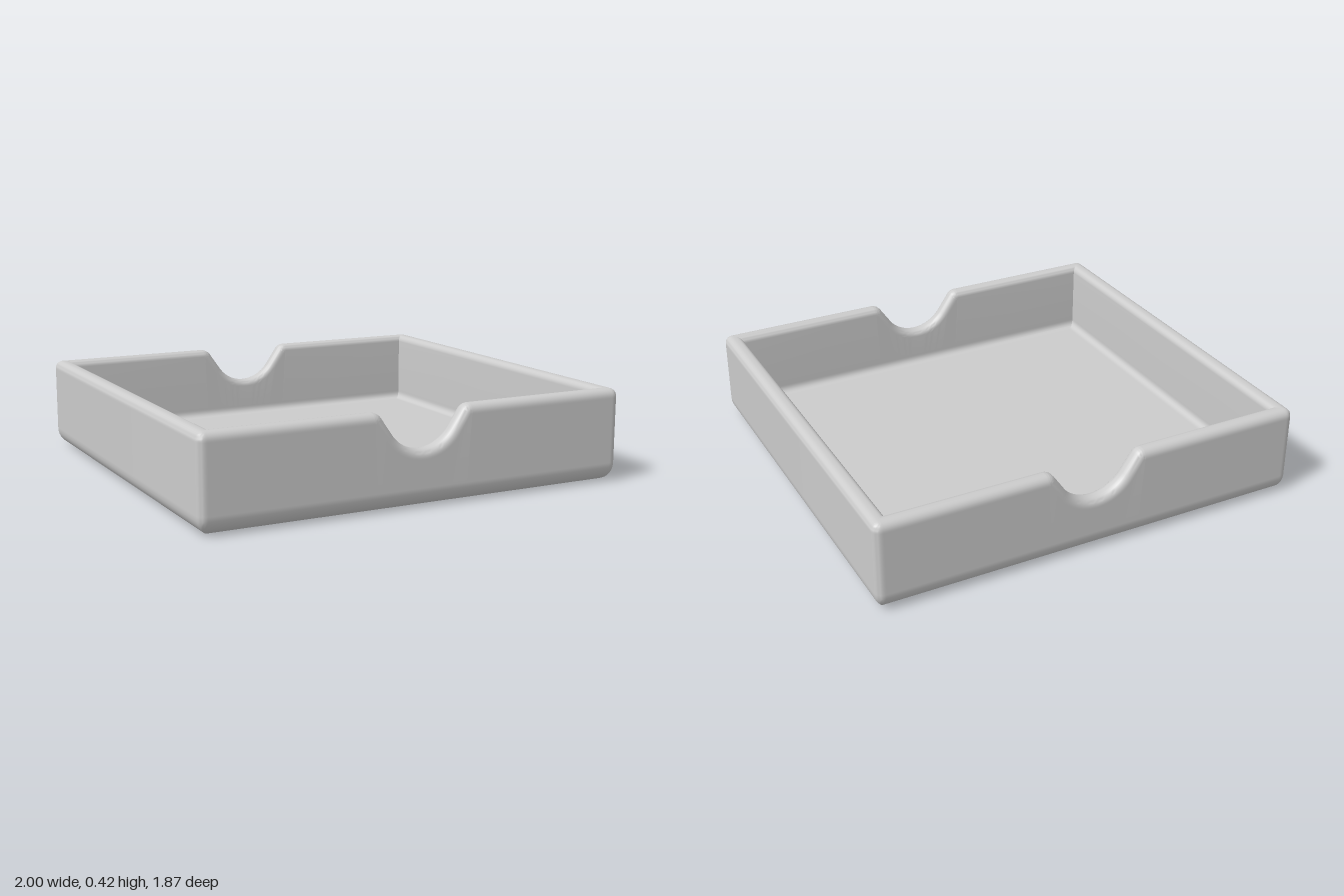
import * as THREE from 'three';
import { toCreasedNormals } from 'three/addons/utils/BufferGeometryUtils.js';

const HALF_W = 1, HALF_D = 0.934, HEIGHT = 0.417;
const WALL = 0.078, FLOOR = 0.075, CORNER = 0.035;
const BOTTOM_R = 0.08, RIM_OUT = 0.035, RIM_IN = 0.03, FLOOR_R = 0.03;
const SUPPORT = 0.006; // narrow bands that keep the flat faces flat

// Right half of the rim line: finger notch arc, slope, shoulder, flat rim
function rimLine() {
  const low = 0.247, rNotch = 0.17, rShoulder = 0.05, slope = THREE.MathUtils.degToRad(55);
  const pts = [];
  for (let i = 0; i <= 12; i++) {
    const a = slope * i / 12;
    pts.push({ x: rNotch * Math.sin(a), h: low + rNotch * (1 - Math.cos(a)), nx: -Math.sin(a), ny: Math.cos(a) });
  }
  const end = pts[12];
  const shoulderY = HEIGHT - rShoulder * (1 - Math.cos(slope));
  const centreX = end.x + (shoulderY - end.h) / Math.tan(slope) + rShoulder * Math.sin(slope);
  for (let i = 0; i <= 8; i++) {
    const a = slope * (1 - i / 8);
    pts.push({ x: centreX - rShoulder * Math.sin(a), h: HEIGHT - rShoulder * (1 - Math.cos(a)), nx: -Math.sin(a), ny: Math.cos(a) });
  }
  return pts;
}
const RIM = rimLine();

// Closed loop around the tray; a loop is at height y, or a drop below the rim line
function makeLoop({ inset, y, drop }) {
  const w = HALF_W - inset, d = HALF_D - inset, r = Math.max(0, CORNER - inset);
  const flatY = y ?? HEIGHT - drop;
  const quarter = RIM.map(p => y === undefined
    ? [p.x - drop * p.nx, p.h - drop * p.ny, d]
    : [p.x, y, d]);
  quarter.push([w - r - SUPPORT, flatY, d]);
  for (let i = 0; i <= 6; i++) {
    const a = Math.PI / 2 * i / 6;
    quarter.push([w - r + r * Math.sin(a), flatY, d - r + r * Math.cos(a)]);
  }
  quarter.push([w, flatY, d - r - SUPPORT], [w, flatY, 0]);
  const flip = (list, sx, sz) => list.map(([px, py, pz]) => [px * sx, py, pz * sz]);
  const back = quarter.slice().reverse();
  return [
    ...quarter,
    ...flip(back.slice(1), 1, -1),
    ...flip(quarter.slice(1), -1, -1),
    ...flip(back.slice(1, -1), -1, 1),
  ];
}

// Wall section from the underside, up the outside, over the rim and down to the floor
function wallSection() {
  const section = [];
  const arc = (steps, fn) => {
    for (let i = 0; i <= steps; i++) {
      const a = Math.PI / 2 * i / steps;
      section.push(fn(Math.sin(a), Math.cos(a)));
    }
  };
  section.push({ inset: BOTTOM_R + SUPPORT, y: 0 });
  arc(8, (s, c) => ({ inset: BOTTOM_R * (1 - s), y: BOTTOM_R * (1 - c) }));
  section.push({ inset: 0, y: BOTTOM_R + SUPPORT }, { inset: 0, drop: RIM_OUT + SUPPORT });
  arc(6, (s, c) => ({ inset: RIM_OUT * (1 - c), drop: RIM_OUT * (1 - s) }));
  arc(6, (s, c) => ({ inset: WALL - RIM_IN * (1 - s), drop: RIM_IN * (1 - c) }));
  section.push({ inset: WALL, drop: RIM_IN + SUPPORT }, { inset: WALL, y: FLOOR + FLOOR_R + SUPPORT });
  arc(5, (s, c) => ({ inset: WALL + FLOOR_R * (1 - c), y: FLOOR + FLOOR_R * (1 - s) }));
  section.push({ inset: WALL + FLOOR_R + SUPPORT, y: FLOOR });
  return section;
}

function trayGeometry() {
  const loops = wallSection().map(makeLoop);
  const n = loops[0].length, positions = [];
  const A = new THREE.Vector3(), B = new THREE.Vector3(), C = new THREE.Vector3();
  const tri = (a, b, c) => {
    A.fromArray(a); B.fromArray(b).sub(A); C.fromArray(c).sub(A);
    if (B.cross(C).length() > 1e-9) positions.push(...a, ...b, ...c);
  };
  for (let k = 0; k < loops.length - 1; k++) {
    for (let j = 0; j < n; j++) {
      const m = (j + 1) % n, lo = loops[k], hi = loops[k + 1];
      tri(lo[j], lo[m], hi[m]);
      tri(lo[j], hi[m], hi[j]);
    }
  }
  // Underside and inner floor
  const first = loops[0], last = loops[loops.length - 1];
  for (let j = 0; j < n; j++) {
    const m = (j + 1) % n;
    tri([0, 0, 0], first[m], first[j]);
    tri([0, FLOOR, 0], last[j], last[m]);
  }
  const geometry = new THREE.BufferGeometry();
  geometry.setAttribute('position', new THREE.Float32BufferAttribute(positions, 3));
  return toCreasedNormals(geometry, 0.7);
}

export function createModel() {
  const grey = new THREE.MeshStandardMaterial({ color: 0xcccccc });
  grey.name = 'lightGrey';
  const tray = new THREE.Mesh(trayGeometry(), grey);
  tray.name = 'tray';
  const group = new THREE.Group();
  group.name = 'notchedTray';
  group.add(tray);
  return group;
}
